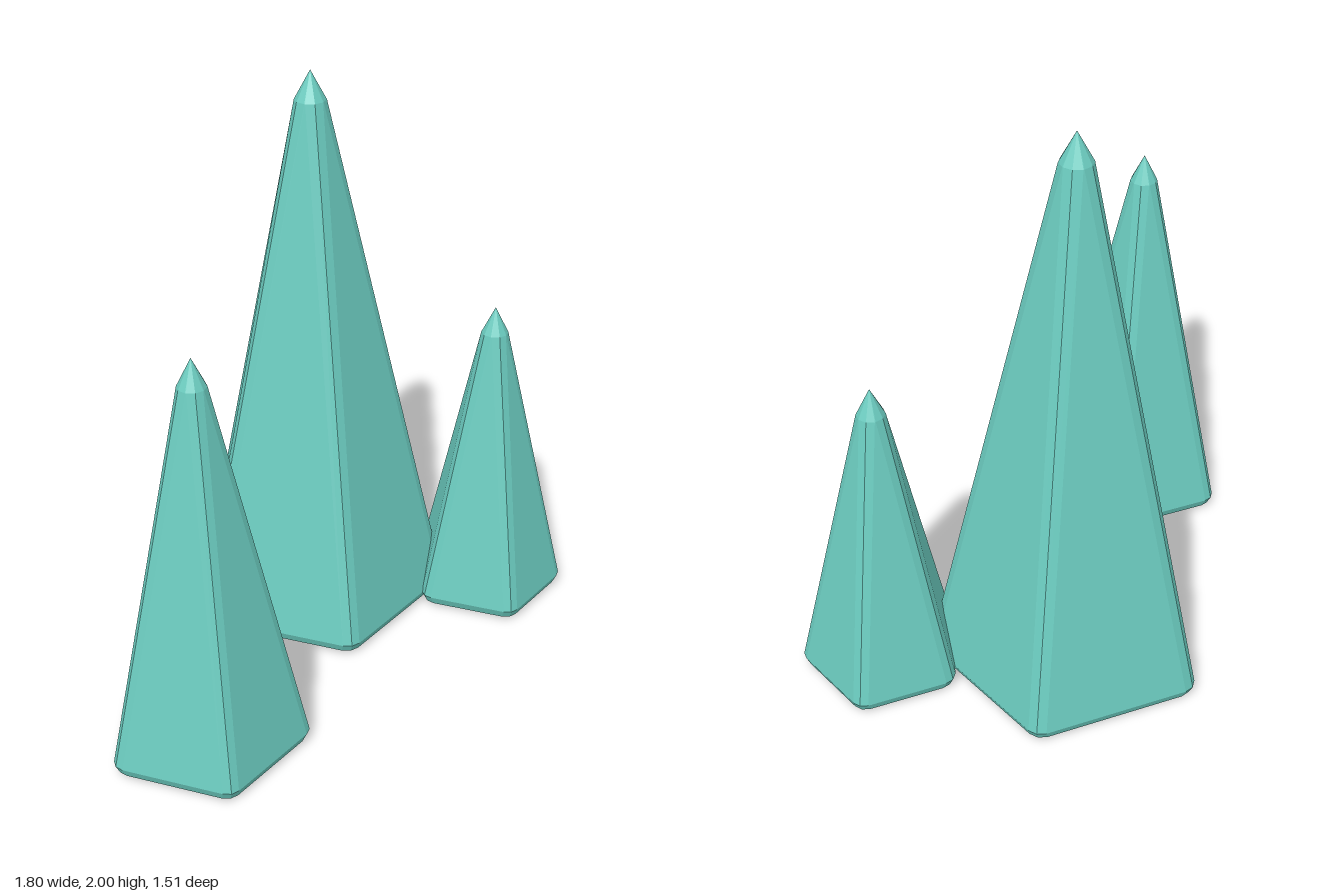
import * as THREE from 'three';

const STEP = Math.PI * 2 / 5;
const HALF = STEP / 2;

// Pentagon ring with one corner towards +z and each corner rounded in two segments
function ring(apothem, radius, y) {
  const points = [];
  const centre = (apothem - radius) / Math.cos(HALF);
  for (let i = 0; i < 5; i++) {
    const a = i * STEP;
    for (const turn of [-HALF, 0, HALF]) {
      points.push([
        centre * Math.sin(a) + radius * Math.sin(a + turn),
        y,
        centre * Math.cos(a) + radius * Math.cos(a + turn),
      ]);
    }
  }
  return points;
}

// Tapering spike: bevelled foot, long straight faces, short pointed tip
function spikeGeometry({ apothem, radius, shoulder, height }) {
  const rings = [
    ring(apothem - 0.04, radius, 0),
    ring(apothem - 0.012, radius, 0.01),
    ring(apothem, radius, 0.04),
    ring(radius + 0.002, radius, shoulder),
  ];
  const n = rings[0].length;
  const positions = [];
  const triangle = (a, b, c) => positions.push(...a, ...b, ...c);
  for (let i = 0; i < n; i++) {
    const j = (i + 1) % n;
    for (let k = 0; k < rings.length - 1; k++) {
      const low = rings[k], high = rings[k + 1];
      triangle(low[i], low[j], high[j]);
      triangle(low[i], high[j], high[i]);
    }
    const top = rings[rings.length - 1];
    triangle(top[i], top[j], [0, height, 0]);
    triangle(rings[0][j], rings[0][i], [0, 0, 0]);
  }
  const geometry = new THREE.BufferGeometry();
  geometry.setAttribute('position', new THREE.Float32BufferAttribute(positions, 3));
  geometry.computeVertexNormals();
  return geometry;
}

export function createModel() {
  const group = new THREE.Group();
  group.name = 'crystalSpikes';
  const teal = new THREE.MeshStandardMaterial({ color: 0x6bcbbf });
  teal.name = 'teal';

  const spikes = [
    { name: 'tallSpike', x: 0.02, z: -0.36, apothem: 0.4, radius: 0.052, shoulder: 1.9, height: 2 },
    { name: 'middleSpike', x: -0.575, z: 0.41, apothem: 0.285, radius: 0.045, shoulder: 1.325, height: 1.42 },
    { name: 'shortSpike', x: 0.635, z: -0.185, apothem: 0.235, radius: 0.045, shoulder: 1.045, height: 1.14 },
  ];
  for (const spike of spikes) {
    const mesh = new THREE.Mesh(spikeGeometry(spike), teal);
    mesh.name = spike.name;
    mesh.position.set(spike.x, 0, spike.z);
    group.add(mesh);
  }
  return group;
}
